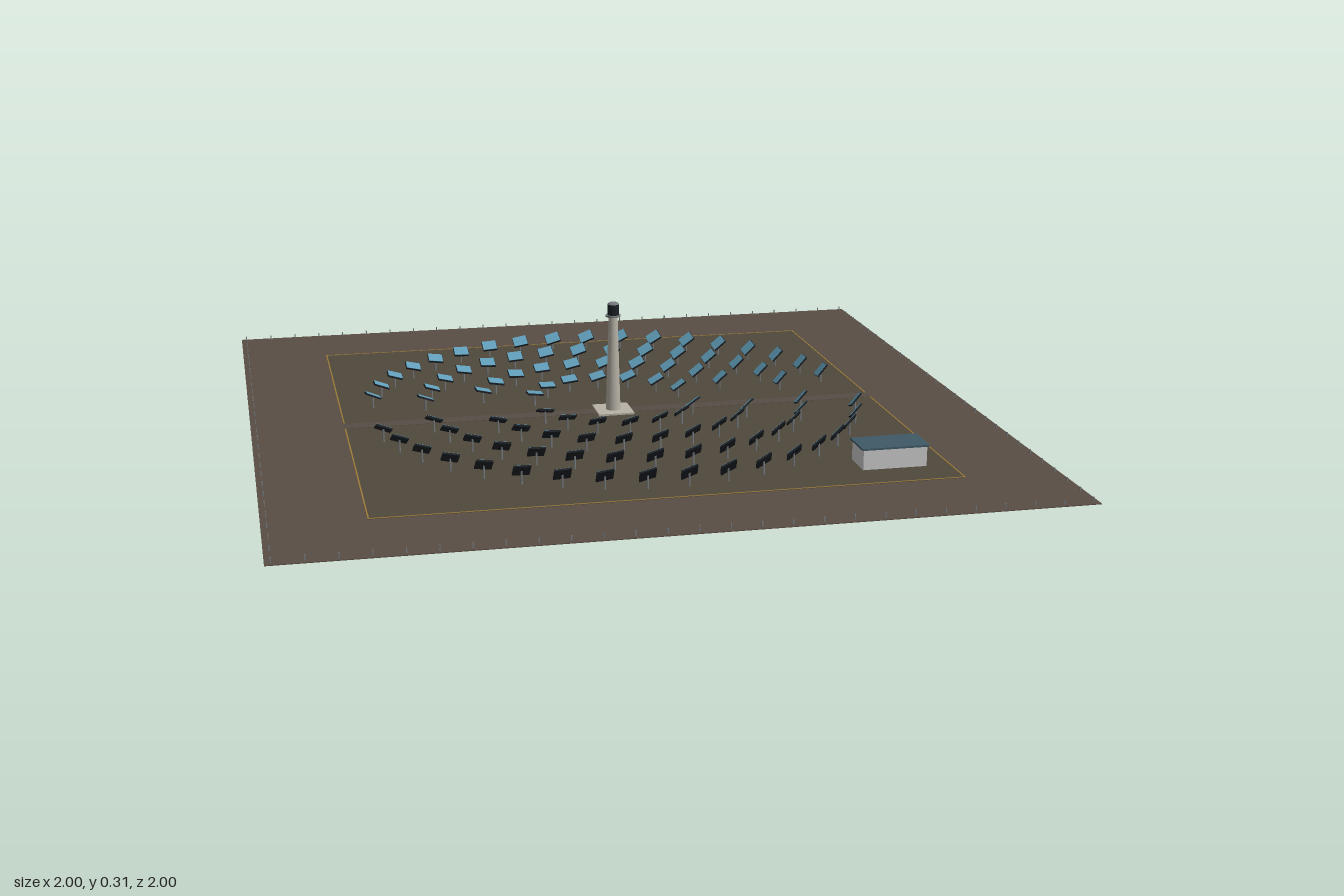
import * as THREE from 'three';

const paint = (color) => new THREE.MeshStandardMaterial({ color });
const MAT = {
  soil: paint(0x5a4e44), field: paint(0x50483c), road: paint(0x564d45), line: paint(0x9a7a3a),
  concrete: paint(0xb8b2a6), dark: paint(0x1c2126), mirror: paint(0x62a0bc),
  steel: paint(0x777b7e), wall: paint(0xc4c8c6), roof: paint(0x3f5a66),
};
const GROUND = 0.002;
const RECEIVER = new THREE.Vector3(0, 0.295, 0);
const SUN = new THREE.Vector3(-0.45, 0.8, -0.4).normalize();
const UP = new THREE.Vector3(0, 1, 0);

function add(parent, name, geometry, material, x = 0, y = 0, z = 0) {
  const mesh = new THREE.Mesh(geometry, material);
  mesh.name = name;
  mesh.position.set(x, y, z);
  parent.add(mesh);
  return mesh;
}

// Box given by its size, centre in plan and bottom height
function box(parent, name, material, w, h, d, x = 0, bottom = 0, z = 0) {
  return add(parent, name, new THREE.BoxGeometry(w, h, d), material, x, bottom + h / 2, z);
}

// Upright tapered cylinder given by its bottom height
function column(parent, name, material, rTop, rBottom, h, bottom, sides = 16) {
  return add(parent, name, new THREE.CylinderGeometry(rTop, rBottom, h, sides), material, 0, bottom + h / 2, 0);
}

function section(parent, name) {
  const g = new THREE.Group();
  g.name = name;
  parent.add(g);
  return g;
}

function buildSite(root) {
  const site = section(root, 'site');
  box(site, 'ground', MAT.soil, 2, GROUND, 2);
  box(site, 'mirrorField', MAT.field, 1.5, 0.001, 1.5, 0, GROUND);
  box(site, 'accessRoad', MAT.road, 1.5, 0.0018, 0.045, 0, GROUND);
  // Boundary line, open where the road crosses
  for (const s of [-1, 1]) {
    box(site, 'boundaryLine', MAT.line, 1.5, 0.002, 0.004, 0, GROUND, s * 0.748);
    for (const t of [-1, 1]) {
      box(site, 'boundaryLine', MAT.line, 0.004, 0.002, 0.725, s * 0.748, GROUND, t * 0.3865);
    }
  }
  // Perimeter posts
  const post = new THREE.BoxGeometry(0.003, 0.013, 0.003);
  const count = 26, edge = 0.985;
  for (let i = 0; i < count; i++) {
    const t = -edge + (2 * edge * i) / count;
    for (const [x, z] of [[t, edge], [-t, -edge], [edge, -t], [-edge, t]]) {
      add(site, 'fencePost', post, MAT.steel, x, GROUND + 0.0065, z);
    }
  }
}

function buildTower(root) {
  const tower = section(root, 'tower');
  box(tower, 'foundation', MAT.concrete, 0.1, 0.006, 0.1, 0, GROUND);
  column(tower, 'shaft', MAT.concrete, 0.0125, 0.021, 0.27, 0.006);
  column(tower, 'gallery', MAT.steel, 0.021, 0.021, 0.005, 0.274);
  column(tower, 'receiver', MAT.dark, 0.016, 0.016, 0.03, 0.279);
  column(tower, 'receiverCap', MAT.steel, 0.013, 0.016, 0.004, 0.309);
}

function buildHeliostats(root) {
  const field = section(root, 'heliostats');
  const post = new THREE.CylinderGeometry(0.0025, 0.003, 0.036, 6);
  const frame = new THREE.BoxGeometry(0.044, 0.005, 0.044);
  const glass = new THREE.BoxGeometry(0.042, 0.0016, 0.042);
  for (let ring = 0; ring < 4; ring++) {
    const radius = 0.225 + 0.15 * ring;
    const count = 16 + 8 * ring;
    const step = (Math.PI * 2) / count;
    for (let i = 0; i < count; i++) {
      const a = (i + (ring % 2) / 2) * step;
      const x = radius * Math.sin(a), z = radius * Math.cos(a);
      if (Math.abs(z) < 0.07) continue; // road corridor
      const unit = section(field, 'heliostat');
      unit.position.set(x, GROUND, z);
      add(unit, 'mirrorPost', post, MAT.steel, 0, 0.018, 0);
      // Panel normal halves the angle between sun and receiver
      const panel = section(unit, 'mirrorPanel');
      panel.position.y = 0.038;
      const aim = RECEIVER.clone().sub(new THREE.Vector3(x, 0.04, z)).normalize();
      panel.quaternion.setFromUnitVectors(UP, aim.add(SUN).normalize());
      add(panel, 'mirrorFrame', frame, MAT.dark);
      add(panel, 'mirrorGlass', glass, MAT.mirror, 0, 0.0026, 0);
    }
  }
}

function buildControlHouse(root) {
  const house = section(root, 'controlHouse');
  house.position.set(0.6, GROUND, 0.6);
  box(house, 'walls', MAT.wall, 0.17, 0.054, 0.09);
  box(house, 'roof', MAT.roof, 0.18, 0.005, 0.1, 0, 0.054);
  box(house, 'door', MAT.dark, 0.02, 0.034, 0.003, 0, 0, -0.045);
}

export function createModel() {
  const root = new THREE.Group();
  root.name = 'solarTowerPlant';
  buildSite(root);
  buildTower(root);
  buildHeliostats(root);
  buildControlHouse(root);
  return root;
}
